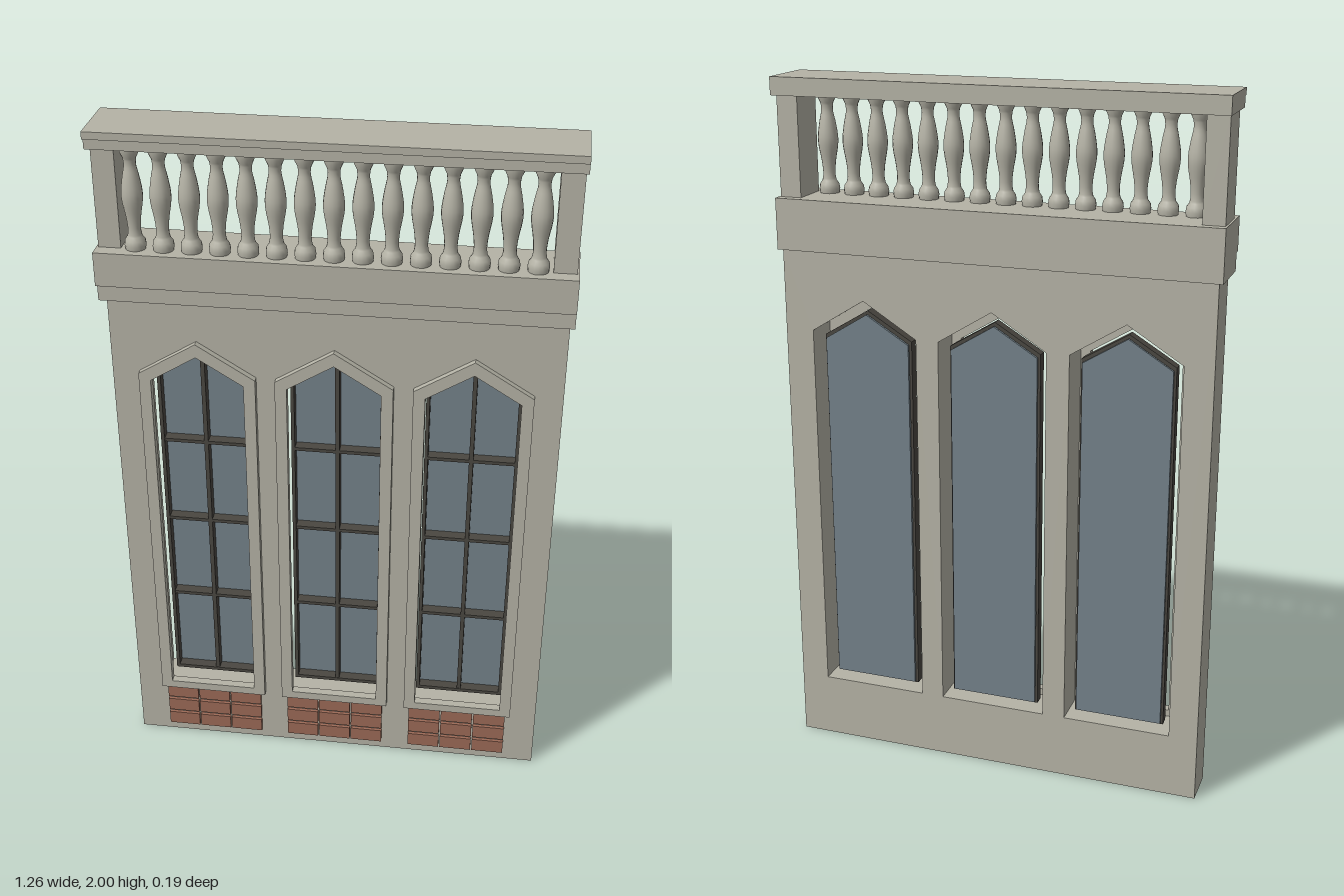
import * as THREE from 'three';

const stone = new THREE.MeshStandardMaterial({ color: 0xb5b3a6 });
stone.name = 'stone';
const glass = new THREE.MeshStandardMaterial({ color: 0x74828a });
glass.name = 'glass';
const brick = new THREE.MeshStandardMaterial({ color: 0x9c6a57 });
brick.name = 'brick';
const metal = new THREE.MeshStandardMaterial({ color: 0x4a4741 });
metal.name = 'darkFrame';

// Box given by its limits on each axis
function box(parent, name, mat, x0, x1, y0, y1, z0, z1) {
  const m = new THREE.Mesh(new THREE.BoxGeometry(x1 - x0, y1 - y0, z1 - z0), mat);
  m.position.set((x0 + x1) / 2, (y0 + y1) / 2, (z0 + z1) / 2);
  m.name = name;
  parent.add(m);
}

// Window outline with a pointed top
function pointed(cx, w, bottom, shoulder, peak, Type = THREE.Shape) {
  return new Type([
    [-w, bottom], [w, bottom], [w, shoulder], [0, peak], [-w, shoulder],
  ].map(([x, y]) => new THREE.Vector2(cx + x, y)));
}

function extrude(parent, name, mat, shape, z0, z1) {
  const g = new THREE.ExtrudeGeometry(shape, { depth: z1 - z0, bevelEnabled: false });
  const m = new THREE.Mesh(g, mat);
  m.position.z = z0;
  m.name = name;
  parent.add(m);
}

function createWindow(cx) {
  const w = new THREE.Group();
  w.name = 'window';
  w.position.x = cx;

  // Raised stone surround
  const surround = pointed(0, 0.163, 0.185, 1.3, 1.4);
  surround.holes.push(pointed(0, 0.13, 0.21, 1.28, 1.36, THREE.Path));
  extrude(w, 'surround', stone, surround, 0.03, 0.055);

  // Pane, dark frame and glazing bars, set deep in the opening
  extrude(w, 'pane', glass, pointed(0, 0.126, 0.214, 1.272, 1.35), -0.062, -0.054);
  const frame = pointed(0, 0.132, 0.207, 1.28, 1.36);
  frame.holes.push(pointed(0, 0.122, 0.218, 1.268, 1.344, THREE.Path));
  extrude(w, 'frame', metal, frame, -0.05, -0.02);
  box(w, 'verticalBar', metal, -0.006, 0.006, 0.214, 1.345, -0.054, -0.022);
  for (const y of [0.5, 0.775, 1.045]) {
    box(w, 'crossBar', metal, -0.126, 0.126, y - 0.005, y + 0.005, -0.054, -0.022);
  }

  // Brick panel below the sill
  for (let row = 0; row < 3; row++) {
    for (let col = 0; col < 3; col++) {
      const x = -0.148 + col * 0.1;
      const y = 0.03 + row * 0.054;
      box(w, 'brick', brick, x, x + 0.096, y, y + 0.044, 0.03, 0.045);
    }
  }
  return w;
}

export function createModel() {
  const model = new THREE.Group();
  model.name = 'facade';
  const centres = [-0.38, 0, 0.38];

  // Wall with three openings
  const wall = new THREE.Shape([
    [-0.62, 0], [0.62, 0], [0.62, 1.53], [-0.62, 1.53],
  ].map(([x, y]) => new THREE.Vector2(x, y)));
  for (const cx of centres) {
    wall.holes.push(pointed(cx, 0.157, 0.19, 1.296, 1.394, THREE.Path));
    model.add(createWindow(cx));
  }
  extrude(model, 'wall', stone, wall, -0.08, 0.035);

  // Stepped cornice
  box(model, 'lowerCornice', stone, -0.632, 0.632, 1.525, 1.575, -0.09, 0.072);
  box(model, 'upperCornice', stone, -0.632, 0.632, 1.575, 1.67, -0.09, 0.09);

  // Balustrade: end posts and stepped rail
  for (const s of [-1, 1]) {
    const a = s * 0.565, b = s * 0.626;
    box(model, 'endPost', stone, Math.min(a, b), Math.max(a, b), 1.67, 1.95, -0.065, 0.05);
  }
  box(model, 'railUnderside', stone, -0.632, 0.632, 1.95, 1.98, -0.09, 0.083);
  box(model, 'railTop', stone, -0.632, 0.632, 1.98, 2, -0.09, 0.095);

  // Turned balusters
  const curve = new THREE.SplineCurve([
    [0.02, 0.035], [0.017, 0.055], [0.02, 0.09], [0.027, 0.13], [0.028, 0.16],
    [0.022, 0.2], [0.016, 0.23], [0.018, 0.25],
  ].map(([x, y]) => new THREE.Vector2(x, y)));
  const profile = [
    new THREE.Vector2(0.027, 0), new THREE.Vector2(0.029, 0.012),
    new THREE.Vector2(0.027, 0.025), ...curve.getPoints(18),
    new THREE.Vector2(0.025, 0.265), new THREE.Vector2(0.026, 0.28),
  ];
  const balusterGeometry = new THREE.LatheGeometry(profile, 16);
  for (let i = -7; i <= 7; i++) {
    const b = new THREE.Mesh(balusterGeometry, stone);
    b.position.set(i * 0.0752, 1.67, 0.042);
    b.name = 'baluster';
    model.add(b);
  }
  return model;
}
